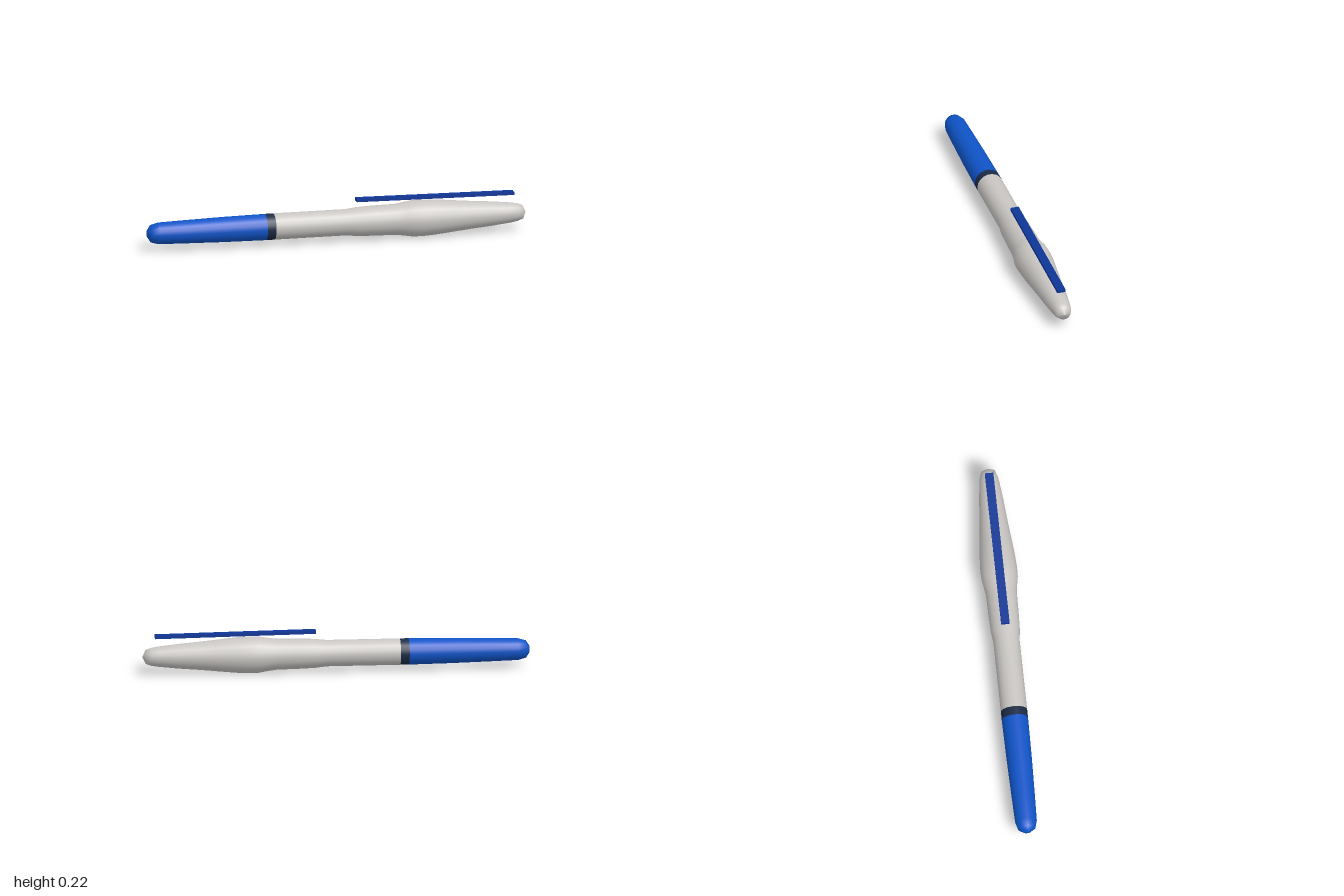
import * as THREE from 'three';

const AXIS_Y = 0.096;
const SIDES = 18;

function material(name, color, side = THREE.FrontSide) {
  const m = new THREE.MeshStandardMaterial({ color, side });
  m.name = name;
  return m;
}

// Round part along x, from [x, radius] pairs running towards +x
function turned(name, profile, mat) {
  const points = profile.map(([x, r]) => new THREE.Vector2(r, x));
  const geometry = new THREE.LatheGeometry(points, SIDES);
  geometry.rotateZ(-Math.PI / 2);
  const mesh = new THREE.Mesh(geometry, mat);
  mesh.name = name;
  mesh.position.y = AXIS_Y;
  return mesh;
}

export function createModel() {
  const group = new THREE.Group();
  group.name = 'pen';

  const blue = material('bright blue', 0x0f54c8);
  const navy = material('dark navy', 0x1c2a45);
  const grey = material('light grey', 0xc9c6c3);
  const clipBlue = material('deep blue', 0x0d3697);

  // Blue end with a rounded tip
  group.add(turned('endCap', [
    [-1, 0], [-0.998, 0.018], [-0.98, 0.045], [-0.94, 0.056],
    [-0.8, 0.06], [-0.6, 0.065], [-0.375, 0.068],
  ], blue));

  // Dark joint ring
  group.add(turned('ring', [[-0.375, 0.068], [-0.33, 0.068]], navy));

  // Pale barrel swelling into the grip and tapering to the tip
  group.add(turned('barrel', [
    [-0.33, 0.068], [-0.1, 0.068], [0.05, 0.068], [0.11, 0.075], [0.2, 0.078],
    [0.31, 0.08], [0.36, 0.087], [0.4, 0.094], [0.45, 0.095], [0.52, 0.091],
    [0.6, 0.083], [0.7, 0.073], [0.82, 0.063], [0.92, 0.052], [0.955, 0.046],
    [0.983, 0.036], [1, 0],
  ], grey));

  // Slightly sloping clip bar
  const clip = new THREE.Mesh(new THREE.BoxGeometry(0.83, 0.016, 0.044), clipBlue);
  clip.name = 'clip';
  clip.position.set(0.52, 0.207, 0);
  clip.rotation.z = -0.013;
  group.add(clip);

  return group;
}
